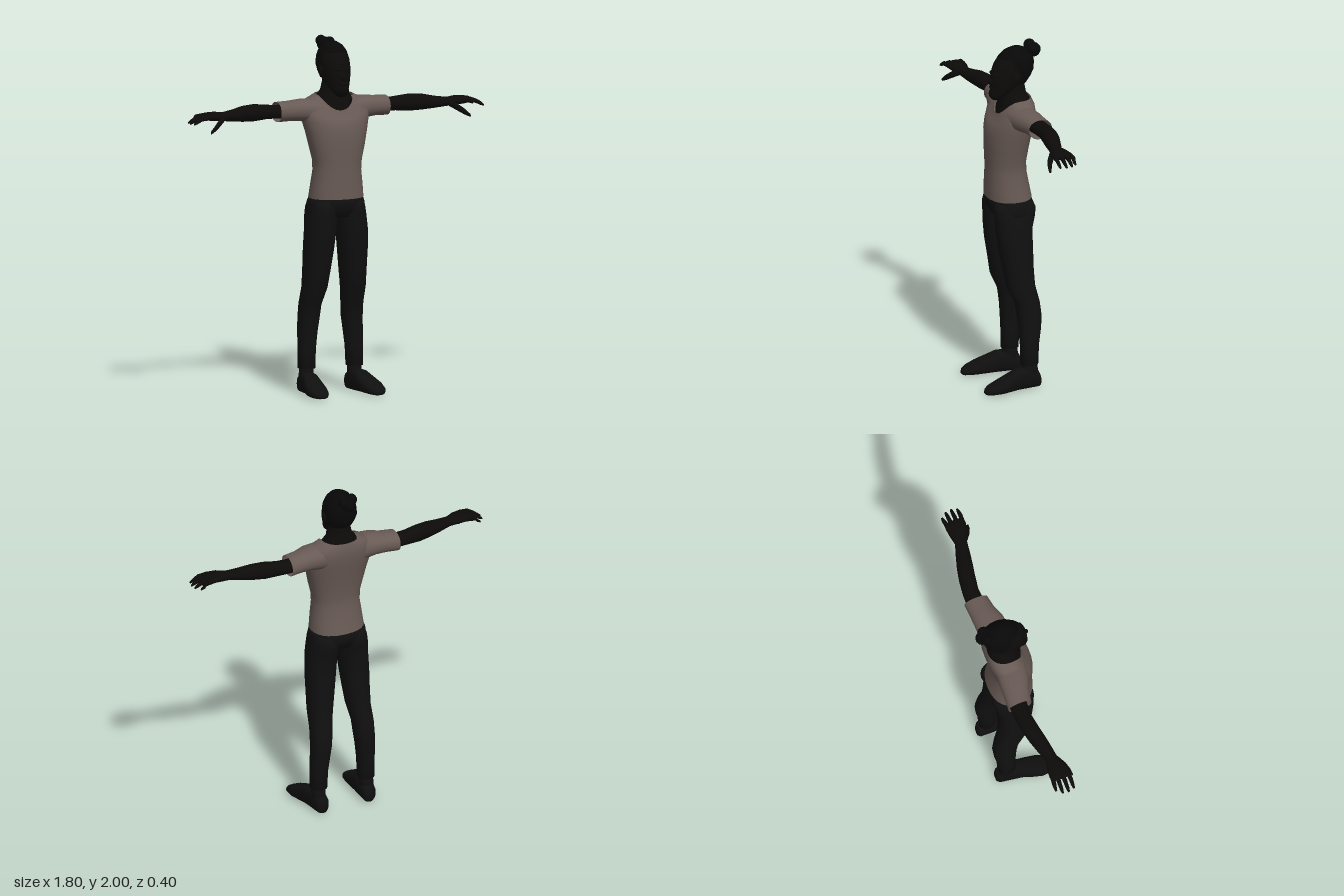
import * as THREE from 'three';

const mat = (name, color, side = THREE.FrontSide) => {
  const m = new THREE.MeshStandardMaterial({ color, side });
  m.name = name;
  return m;
};

// Axis of a loft -> indices of [along, cosine, sine] coordinates
const AXES = { y: [1, 0, 2], x: [0, 2, 1], z: [2, 1, 0] };

// Skin a tube over rings [t, centreA, centreB, radiusA, radiusB, frontDip].
// e < 1 makes the section boxier; side = -1 mirrors it across x.
function loft(rings, axis, { n = 20, e = 1, side = 1, caps = true } = {}) {
  const [T, A, B] = AXES[axis];
  const pos = [], idx = [];
  const put = (t, a, b) => {
    const p = [0, 0, 0];
    p[T] = t; p[A] = a; p[B] = b;
    p[0] *= side;
    pos.push(...p);
  };
  const tri = (a, b, c) => (side > 0 ? idx.push(a, b, c) : idx.push(a, c, b));
  const pw = v => Math.sign(v) * Math.abs(v) ** e;
  for (const [t, a, b, ra, rb, dip = 0] of rings)
    for (let j = 0; j < n; j++) {
      const q = (j / n) * Math.PI * 2, s = Math.sin(q);
      put(t - dip * Math.max(0, s) ** 2, a + ra * pw(Math.cos(q)), b + rb * pw(s));
    }
  for (let i = 0; i < rings.length - 1; i++)
    for (let j = 0; j < n; j++) {
      const a = i * n + j, b = i * n + (j + 1) % n;
      tri(a, a + n, b + n);
      tri(a, b + n, b);
    }
  if (caps) {
    const last = rings.length - 1, c = rings.length * n;
    put(...rings[0].slice(0, 3));
    put(...rings[last].slice(0, 3));
    for (let j = 0; j < n; j++) {
      const k = (j + 1) % n;
      tri(c, j, k);
      tri(c + 1, last * n + k, last * n + j);
    }
  }
  const g = new THREE.BufferGeometry();
  g.setAttribute('position', new THREE.Float32BufferAttribute(pos, 3));
  g.setIndex(idx);
  g.computeVertexNormals();
  return g;
}

export function createModel() {
  const skin = mat('skin', 0x0d0b0a);
  const hair = mat('hair', 0x080808);
  const shirt = mat('shirt', 0x685a55, THREE.DoubleSide);
  const trousers = mat('trousers', 0x101010);
  const shoes = mat('shoes', 0x0f0f0f);

  const model = new THREE.Group();
  model.name = 'standingFigure';
  const add = (name, geo, material) => {
    const m = new THREE.Mesh(geo, material);
    m.name = name;
    model.add(m);
    return m;
  };
  const ball = (name, material, p, s) => {
    const m = add(name, new THREE.SphereGeometry(1, 14, 10), material);
    m.position.set(...p);
    m.scale.set(...s);
    return m;
  };

  // Shirt body, dipping at the front of the neckline
  add('shirtBody', loft([
    [1.105, 0, -0.004, 0.156, 0.126], [1.18, 0, 0.003, 0.148, 0.118],
    [1.26, 0, 0.009, 0.138, 0.109], [1.32, 0, 0.01, 0.142, 0.108],
    [1.40, 0, 0.006, 0.162, 0.114], [1.48, 0, -0.002, 0.18, 0.119],
    [1.545, 0, -0.015, 0.196, 0.121, 0.02], [1.61, 0, -0.026, 0.203, 0.119, 0.06],
    [1.655, 0, -0.033, 0.17, 0.109, 0.08], [1.685, 0, -0.033, 0.106, 0.1, 0.085],
  ], 'y', { n: 28, e: 0.88, caps: false }), shirt);

  // Neck and upper chest inside the collar
  add('neck', loft([
    [1.62, 0, -0.033, 0.115, 0.092, 0.09], [1.675, 0, -0.034, 0.1, 0.095, 0.08],
    [1.705, 0, -0.038, 0.075, 0.072, 0.04], [1.75, 0, -0.036, 0.064, 0.066],
    [1.80, 0, -0.03, 0.062, 0.068],
  ], 'y', { n: 24 }), skin);

  // Head: face and skull
  add('head', loft([
    [1.69, 0, 0.07, 0.024, 0.026], [1.705, 0, 0.052, 0.044, 0.047],
    [1.735, 0, 0.026, 0.06, 0.07], [1.77, 0, -0.002, 0.073, 0.1],
    [1.80, 0, -0.016, 0.08, 0.115], [1.84, 0, -0.03, 0.084, 0.122],
    [1.88, 0, -0.038, 0.083, 0.117], [1.92, 0, -0.047, 0.075, 0.1],
    [1.95, 0, -0.05, 0.057, 0.072], [1.968, 0, -0.05, 0.03, 0.038],
  ], 'y', { n: 24 }), skin);
  ball('nose', skin, [0, 1.79, 0.094], [0.014, 0.024, 0.019]);
  ball('brow', skin, [0, 1.832, 0.076], [0.05, 0.011, 0.02]);
  ball('lips', skin, [0, 1.752, 0.092], [0.024, 0.01, 0.012]);

  // Hair cap over the back of the skull, beard and bun
  add('hairCap', loft([
    [1.775, 0, -0.06, 0.066, 0.05], [1.81, 0, -0.067, 0.078, 0.069],
    [1.85, 0, -0.07, 0.087, 0.085], [1.89, 0, -0.055, 0.086, 0.102],
    [1.925, 0, -0.05, 0.075, 0.1], [1.955, 0, -0.052, 0.055, 0.072],
    [1.974, 0, -0.054, 0.026, 0.035],
  ], 'y', { n: 24 }), hair);
  ball('beard', hair, [0, 1.712, 0.068], [0.046, 0.036, 0.038]);
  ball('bun', hair, [0, 1.945, -0.155], [0.04, 0.042, 0.046]);
  ball('bunRightLobe', hair, [-0.025, 1.968, -0.145], [0.03, 0.032, 0.034]);
  ball('bunLeftLobe', hair, [0.028, 1.958, -0.145], [0.028, 0.03, 0.034]);

  // Hips of the trousers
  add('hips', loft([
    [1.0, 0, -0.008, 0.168, 0.09], [1.04, 0, -0.01, 0.17, 0.117],
    [1.08, 0, -0.008, 0.163, 0.125], [1.12, 0, -0.005, 0.15, 0.116],
  ], 'y', { n: 28, e: 0.85 }), trousers);

  for (const side of [1, -1]) {
    const label = side > 0 ? 'left' : 'right';
    const limb = (name, rings, axis, material, opt = {}) =>
      add(label + name, loft(rings, axis, { side, ...opt }), material);

    limb('Sleeve', [
      [0.1, -0.035, 1.59, 0.09, 0.075], [0.2, -0.045, 1.6, 0.085, 0.062],
      [0.26, -0.058, 1.598, 0.074, 0.056], [0.336, -0.067, 1.594, 0.069, 0.056],
    ], 'x', shirt, { e: 0.9, caps: false });

    // Arm down to the palm
    limb('Arm', [
      [0.22, -0.065, 1.595, 0.05, 0.045], [0.335, -0.074, 1.595, 0.05, 0.038],
      [0.4, -0.075, 1.598, 0.047, 0.041], [0.48, -0.064, 1.6, 0.048, 0.049],
      [0.55, -0.05, 1.6, 0.047, 0.045], [0.62, -0.034, 1.597, 0.042, 0.034],
      [0.69, -0.018, 1.597, 0.035, 0.025], [0.74, -0.012, 1.603, 0.052, 0.026],
      [0.79, -0.01, 1.605, 0.06, 0.022], [0.82, -0.011, 1.605, 0.056, 0.014],
    ], 'x', skin, { n: 16 });

    // Four fingers curling slightly down
    [[-0.06, 0.87], [-0.03, 0.895], [0.004, 0.9], [0.038, 0.89]].forEach(([z, tip], i) =>
      limb('Finger' + (i + 1), [
        [0.79, z * 0.9, 1.605, 0.013, 0.015], [0.84, z, 1.6, 0.012, 0.013],
        [tip - 0.02, z, 1.584, 0.01, 0.011], [tip, z, 1.573, 0.006, 0.006],
      ], 'x', skin, { n: 8 }));
    limb('Thumb', [
      [0.69, 0.002, 1.594, 0.02, 0.018], [0.73, 0.032, 1.57, 0.018, 0.02],
      [0.765, 0.052, 1.545, 0.013, 0.017], [0.797, 0.062, 1.522, 0.008, 0.009],
    ], 'x', skin, { n: 8 });

    ball(label + 'Ear', skin, [side * 0.086, 1.82, -0.022], [0.01, 0.03, 0.02]);

    limb('TrouserLeg', [
      [0.14, 0.147, -0.075, 0.048, 0.05], [0.25, 0.145, -0.077, 0.05, 0.053],
      [0.35, 0.139, -0.081, 0.054, 0.064], [0.42, 0.133, -0.08, 0.058, 0.07],
      [0.5, 0.129, -0.069, 0.061, 0.071], [0.6, 0.118, -0.033, 0.068, 0.083],
      [0.7, 0.111, -0.022, 0.075, 0.088], [0.82, 0.104, -0.01, 0.082, 0.098],
      [0.93, 0.096, -0.003, 0.085, 0.104], [1.0, 0.09, -0.01, 0.083, 0.115],
      [1.05, 0.084, -0.012, 0.08, 0.122], [1.09, 0.08, -0.008, 0.075, 0.11],
    ], 'y', trousers, { e: 0.9 });

    // Ankle and shoe, toes turned outward
    limb('Ankle', [
      [0.04, 0.149, -0.08, 0.042, 0.048], [0.1, 0.149, -0.077, 0.04, 0.047],
      [0.17, 0.147, -0.075, 0.04, 0.044],
    ], 'y', shoes, { n: 16 });
    limb('Shoe', [
      [-0.14, 0.035, 0.145, 0.03, 0.022], [-0.125, 0.048, 0.146, 0.048, 0.038],
      [-0.06, 0.061, 0.15, 0.061, 0.046], [0, 0.06, 0.156, 0.06, 0.049],
      [0.05, 0.048, 0.164, 0.048, 0.057], [0.11, 0.035, 0.172, 0.035, 0.062],
      [0.165, 0.023, 0.175, 0.023, 0.053], [0.19, 0.016, 0.175, 0.016, 0.036],
      [0.2, 0.011, 0.175, 0.009, 0.02],
    ], 'z', shoes, { e: 0.7 });
  }
  return model;
}
